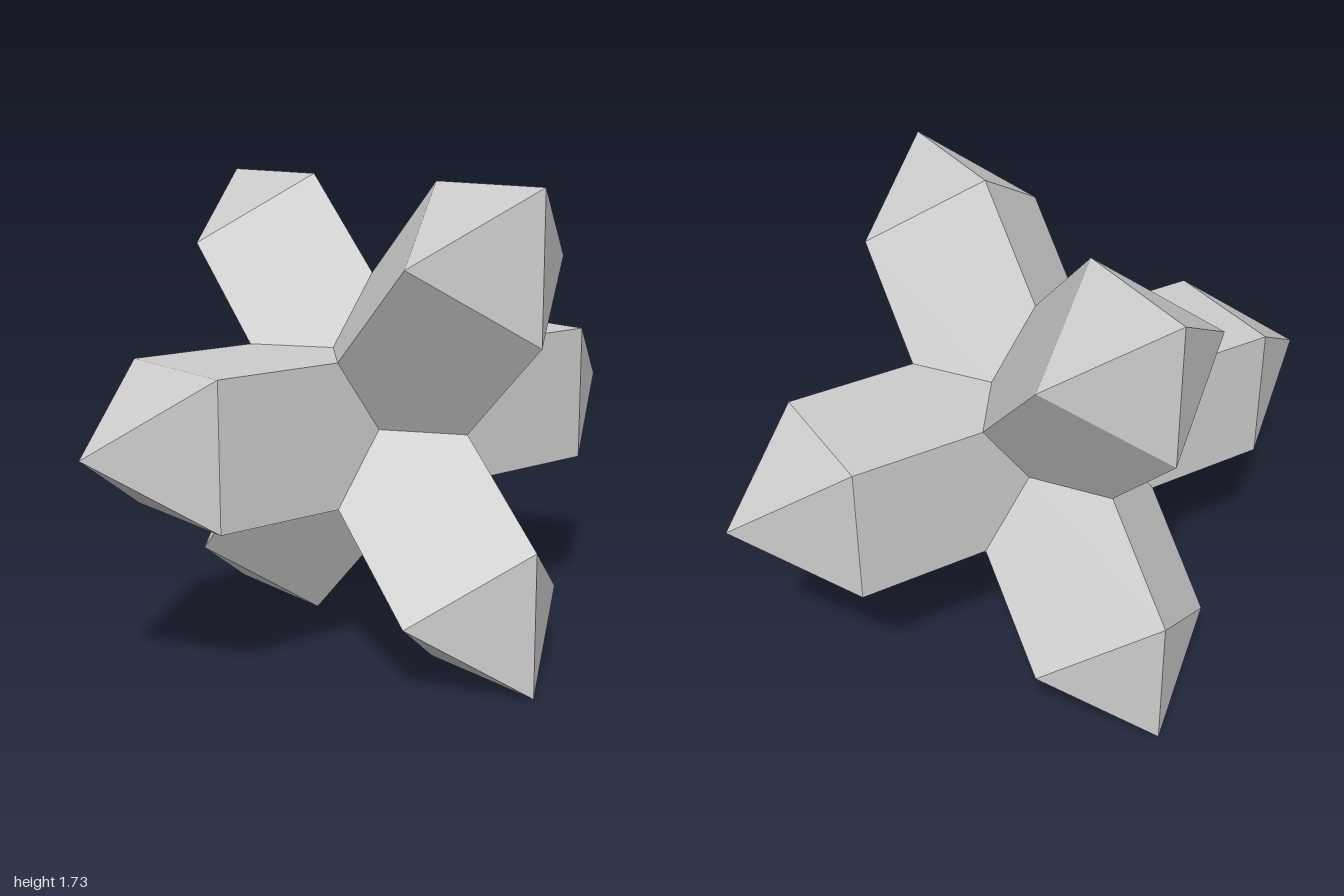
import * as THREE from 'three';

const LENGTH = Math.sqrt(1.5);      // centre to tip
const RADIUS = 0.3 * LENGTH;        // centre line to arm edge
const SHOULDER = 0.7 * LENGTH;      // where the point starts

// One square arm along +y: mitred root, straight shaft, pyramid point
function armGeometry() {
  const corner = (k, y) => new THREE.Vector3(
    RADIUS * Math.cos(k * Math.PI / 2), y, RADIUS * Math.sin(k * Math.PI / 2));
  const tip = new THREE.Vector3(0, LENGTH, 0);
  const points = [];
  for (let k = 0; k < 4; k++) {
    const root0 = corner(k, RADIUS), root1 = corner(k + 1, RADIUS);
    const top0 = corner(k, SHOULDER), top1 = corner(k + 1, SHOULDER);
    const valley = root0.clone().add(root1).multiplyScalar(0.5);
    valley.y = RADIUS / 2;
    points.push(
      valley, root0, top0,
      valley, top0, top1,
      valley, top1, root1,
      top1, top0, tip);
  }
  const geometry = new THREE.BufferGeometry().setFromPoints(points);
  geometry.computeVertexNormals();
  return geometry;
}

export function createModel() {
  const model = new THREE.Group();
  model.name = 'sixPointedCross';
  const grey = new THREE.MeshStandardMaterial({ color: 0xcccccc, flatShading: true });
  grey.name = 'grey';
  const geometry = armGeometry();

  // Three perpendicular axes standing around the z direction
  const axes = [Math.PI, Math.PI / 3, -Math.PI / 3].map((angle) =>
    new THREE.Vector3(Math.cos(angle), Math.sin(angle), Math.SQRT1_2).normalize());
  const names = ['Right', 'UpperLeft', 'LowerLeft'];

  axes.forEach((axis, i) => {
    for (const sign of [1, -1]) {
      const x = axes[(i + 1) % 3];
      const y = axis.clone().multiplyScalar(sign);
      const z = x.clone().cross(y);
      const arm = new THREE.Mesh(geometry, grey);
      arm.name = sign > 0 ? `frontArm${names[i]}` : `backArmOpposite${names[i]}`;
      arm.quaternion.setFromRotationMatrix(new THREE.Matrix4().makeBasis(x, y, z));
      arm.position.y = Math.sqrt(3) / 2;
      model.add(arm);
    }
  });
  return model;
}
